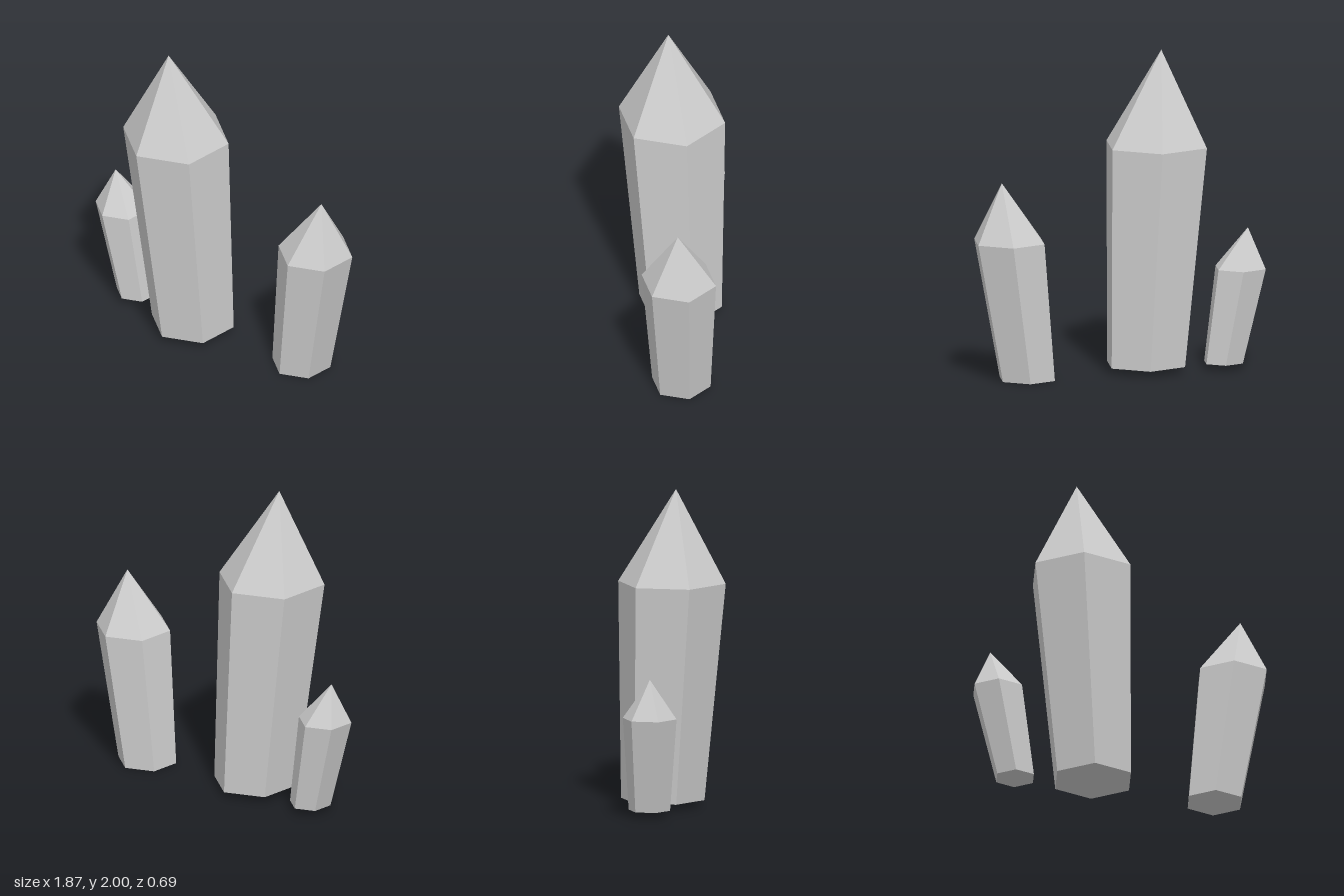
import * as THREE from 'three';

const crystalGrey = new THREE.MeshStandardMaterial({ color: 0xcccccc, flatShading: true });
crystalGrey.name = 'crystal grey';

const TWIST = Math.PI / 2 + 0.162; // shared turn of the hexagons

// Six-sided tapered shaft with a pointed tip, leaning in a straight line from base to apex
function makeCrystal({ name, base, baseRadius, shoulderY, shoulderRadius, apex }) {
  const [bx, by, bz] = base;
  const [ax, ay, az] = apex;
  const h = ay - by;
  const profile = [
    new THREE.Vector2(0, 0),
    new THREE.Vector2(baseRadius, 0),
    new THREE.Vector2(shoulderRadius, shoulderY - by),
    new THREE.Vector2(0, h),
  ];
  const lean = new THREE.Matrix4().set(
    1, (ax - bx) / h, 0, 0,
    0, 1, 0, 0,
    0, (az - bz) / h, 1, 0,
    0, 0, 0, 1,
  );
  const geometry = new THREE.LatheGeometry(profile, 6, TWIST).toNonIndexed();
  geometry.applyMatrix4(lean);
  geometry.computeVertexNormals();
  const mesh = new THREE.Mesh(geometry, crystalGrey);
  mesh.name = name;
  mesh.position.set(bx, by, bz);
  return mesh;
}

export function createModel() {
  const group = new THREE.Group();
  group.name = 'crystalCluster';
  group.add(
    makeCrystal({
      name: 'tallCrystal', base: [-0.199, 0.04, -0.017], baseRadius: 0.264,
      shoulderY: 1.41, shoulderRadius: 0.34, apex: [-0.336, 2, 0.044],
    }),
    makeCrystal({
      name: 'leftCrystal', base: [0.585, 0, 0.065], baseRadius: 0.187,
      shoulderY: 0.87, shoulderRadius: 0.238, apex: [0.742, 1.24, 0.105],
    }),
    makeCrystal({
      name: 'smallRightCrystal', base: [-0.657, 0.04, -0.175], baseRadius: 0.131,
      shoulderY: 0.63, shoulderRadius: 0.17, apex: [-0.815, 0.88, -0.198],
    }),
  );
  return group;
}
